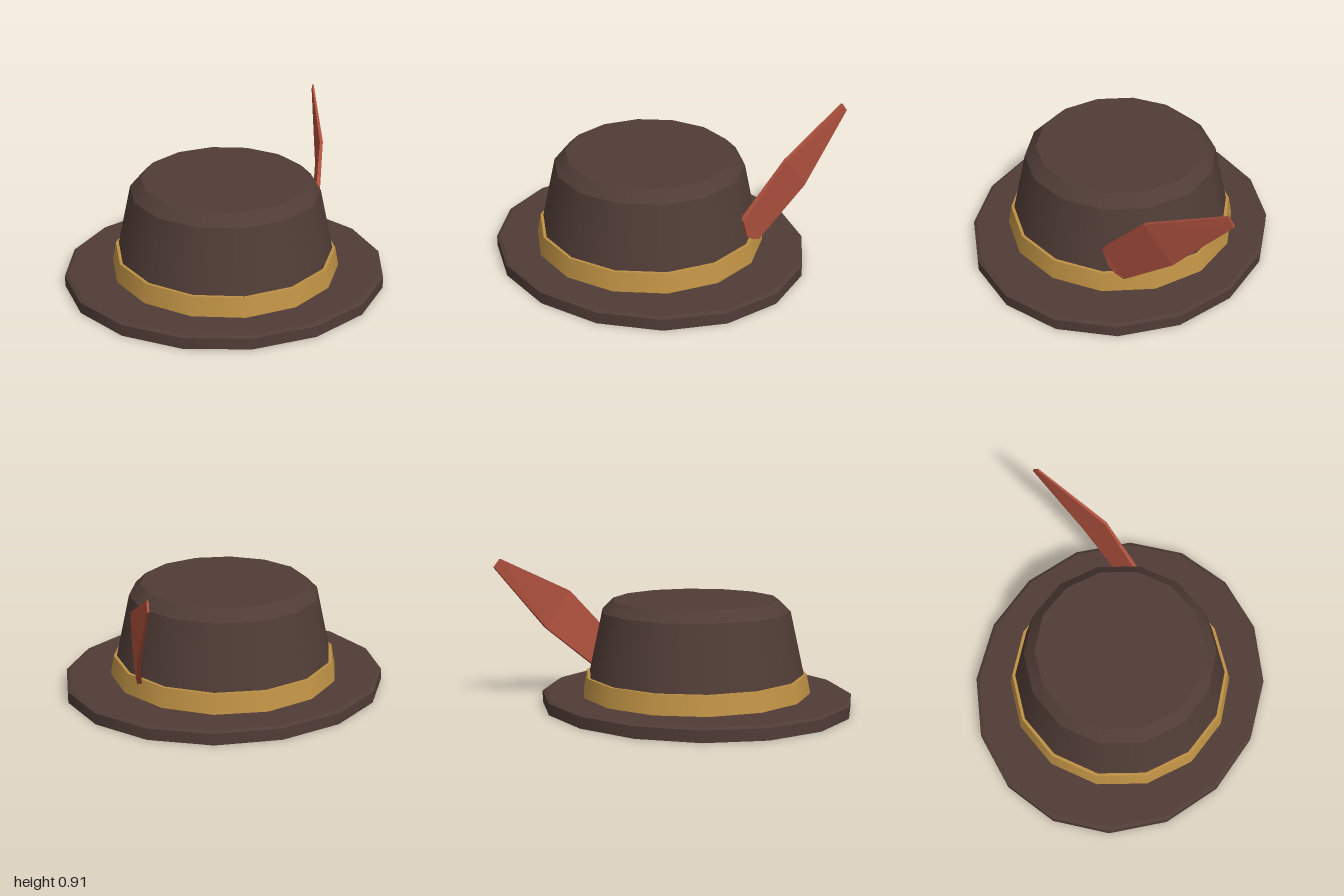
import * as THREE from 'three';

export function createModel() {
  const hat = new THREE.Group();
  hat.name = 'featheredHat';

  const material = (name, color) => {
    const m = new THREE.MeshStandardMaterial({ color });
    m.name = name;
    return m;
  };
  const felt = material('brown felt', 0x503c36);
  const gold = material('gold band', 0xbe9144);
  const red = material('red feather', 0xad503d);

  // Tapered ring or disc between two heights, smooth around, sharp at its rims
  const centreZ = 0.014;
  const tier = (name, mat, sides, rBottom, rTop, y0, y1, open, zScale = 1) => {
    const geo = new THREE.CylinderGeometry(rTop, rBottom, y1 - y0, sides, 1, open);
    const mesh = new THREE.Mesh(geo, mat);
    mesh.name = name;
    mesh.position.set(0, (y0 + y1) / 2, centreZ);
    mesh.scale.z = zScale;
    hat.add(mesh);
  };

  // Brim: slightly oval plate with a narrow bevel on top
  tier('brim', felt, 16, 1, 1, 0, 0.07, false, 0.918);
  tier('brimBevel', felt, 16, 1, 0.978, 0.07, 0.082, false, 0.918);

  // Crown: sloping wall and bevelled flat top
  tier('crownWall', felt, 14, 0.694, 0.582, 0.08, 0.588, true);
  tier('crownTop', felt, 14, 0.582, 0.513, 0.588, 0.655, false);

  // Band around the foot of the crown
  tier('band', gold, 14, 0.709, 0.686, 0.08, 0.2, false);

  // Feather: flat bent blade, each section [x, y, z] of its upper and lower edge, and thickness
  const sections = [
    [[0.622, 0.235, -0.165], [0.628, 0.2, -0.21], 0.026],
    [[0.618, 0.35, -0.125], [0.634, 0.18, -0.265], 0.028],
    [[0.708, 0.68, -0.41], [0.727, 0.46, -0.587], 0.02],
    [[0.761, 0.91, -0.89], [0.77, 0.86, -0.93], 0.012],
  ];
  const points = [];
  const index = [];
  sections.forEach(([up, low, t]) => {
    points.push(up[0] - t / 2, up[1], up[2], up[0] + t / 2, up[1], up[2]);
    points.push(low[0] + t / 2, low[1], low[2], low[0] - t / 2, low[1], low[2]);
  });
  for (let s = 0; s < sections.length - 1; s++) {
    for (let i = 0; i < 4; i++) {
      const a = s * 4 + i, b = s * 4 + (i + 1) % 4;
      index.push(a, b, b + 4, a, b + 4, a + 4);
    }
  }
  const end = (sections.length - 1) * 4;
  index.push(0, 3, 2, 0, 2, 1, end, end + 1, end + 2, end, end + 2, end + 3);

  const indexed = new THREE.BufferGeometry();
  indexed.setAttribute('position', new THREE.Float32BufferAttribute(points, 3));
  indexed.setIndex(index);
  const blade = indexed.toNonIndexed();
  blade.computeVertexNormals();
  const feather = new THREE.Mesh(blade, red);
  feather.name = 'feather';
  hat.add(feather);

  return hat;
}
